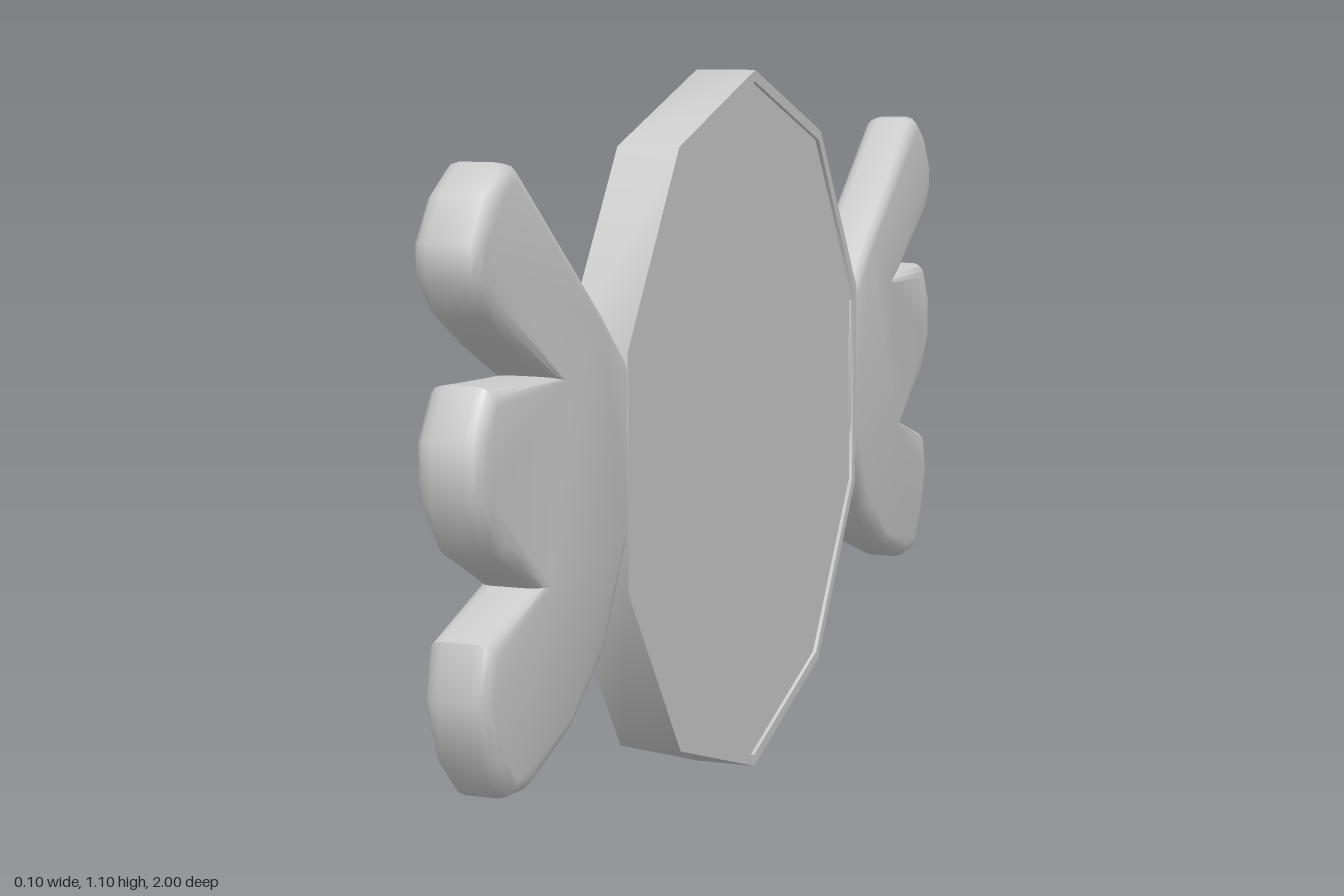
import * as THREE from 'three';
import { toCreasedNormals } from 'three/addons/utils/BufferGeometryUtils.js';

const HALF = 0.048;   // half thickness of the body
const RADIUS = 0.55;  // decagon corner radius

// Outline of one wrapper end: [distance from centre, height]
const WING = [
  [0.49, 0.70], [0.525, 0.725], [0.60, 0.79], [0.87, 0.997], [0.90, 1.0], [0.955, 0.965],
  [0.998, 0.905], [0.995, 0.855], [0.955, 0.81], [0.88, 0.765], [0.765, 0.715],
  [0.955, 0.725], [0.997, 0.66], [0.997, 0.58], [0.94, 0.505], [0.88, 0.475], [0.82, 0.445],
  [0.97, 0.402], [0.99, 0.33], [0.955, 0.235], [0.907, 0.187], [0.85, 0.184],
  [0.713, 0.23], [0.595, 0.314], [0.52, 0.44], [0.49, 0.47],
];

// Ten-sided disc with a thin raised lip around each recessed face
function bodyGeometry() {
  const lip = RADIUS - 0.018, face = HALF - 0.006;
  const profile = [
    [0, -face], [lip, -face], [lip, -HALF], [RADIUS, -HALF],
    [RADIUS, HALF], [lip, HALF], [lip, face], [0, face],
  ].map(([r, h]) => new THREE.Vector2(r, h));
  const geo = new THREE.LatheGeometry(profile, 10, Math.PI / 2);
  geo.rotateZ(-Math.PI / 2);
  return toCreasedNormals(geo, THREE.MathUtils.degToRad(40));
}

// Three-lobed wrapper end with softly rounded edges
function wingGeometry(side) {
  const bevel = 0.024, half = HALF - 0.001;
  const shape = new THREE.Shape(WING.map(([x, y]) => new THREE.Vector2(x, y)));
  const geo = new THREE.ExtrudeGeometry(shape, {
    depth: 2 * (half - bevel),
    bevelEnabled: true,
    bevelThickness: bevel,
    bevelSize: bevel,
    bevelOffset: -bevel,
    bevelSegments: 3,
  });
  geo.translate(0, 0, -(half - bevel));
  geo.rotateY(-side * Math.PI / 2);
  return toCreasedNormals(geo, THREE.MathUtils.degToRad(45));
}

export function createModel() {
  const group = new THREE.Group();
  group.name = 'wrappedCandy';
  const material = new THREE.MeshStandardMaterial({ color: 0xcccccc });

  const add = (name, geo) => {
    const mesh = new THREE.Mesh(geo, material);
    mesh.name = name;
    group.add(mesh);
    return mesh;
  };

  add('candyBody', bodyGeometry()).position.y = RADIUS;
  add('frontWrapperEnd', wingGeometry(1));
  add('backWrapperEnd', wingGeometry(-1));
  return group;
}
